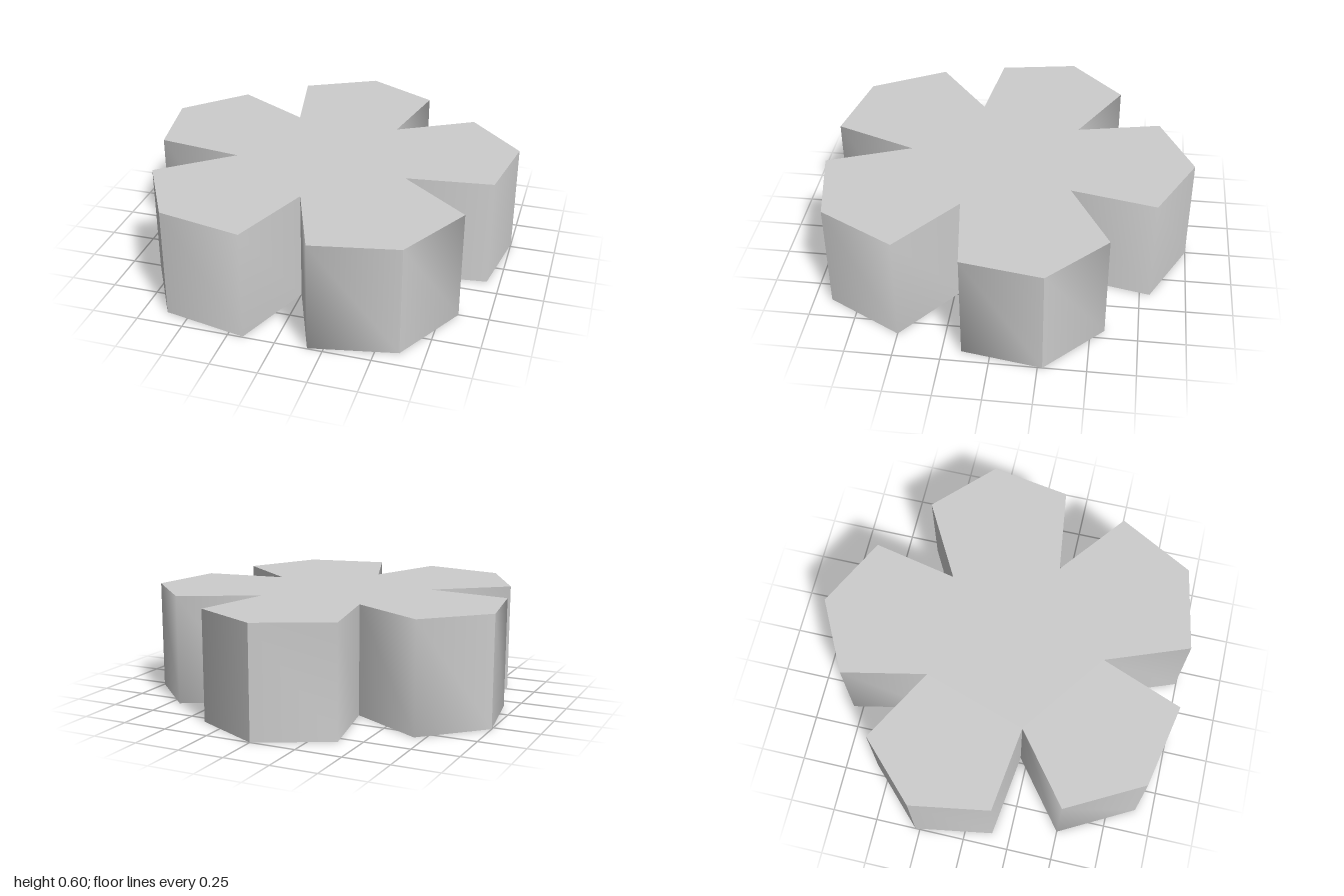
import * as THREE from 'three';

const HEIGHT = 0.6;

// Half of the flower outline as [x, z]: tip, shoulder, notch, shoulder, tip ...
const HALF = [
  [0, -1], [0.385, -0.805], [0.29, -0.35], [0.695, -0.575],
  [1, -0.275], [0.93, 0.15], [0.47, 0.21], [0.84, 0.5],
  [0.62, 0.905], [0.17, 0.995], [0, 0.55],
];

// Mirror it into a closed loop of 20 points
const OUTLINE = [
  ...HALF,
  ...HALF.slice(1, -1).reverse().map(([x, z]) => [-x, z]),
];

// Wall over a run of outline points: smooth inside the run, sharp at its ends
function wallGeometry(points) {
  const position = [], index = [];
  points.forEach(([x, z], i) => {
    position.push(x, HEIGHT, z, x, 0, z);
    if (i > 0) {
      const a = 2 * (i - 1);
      index.push(a, a + 2, a + 1, a + 2, a + 3, a + 1);
    }
  });
  const geometry = new THREE.BufferGeometry();
  geometry.setAttribute('position', new THREE.Float32BufferAttribute(position, 3));
  geometry.setIndex(index);
  geometry.computeVertexNormals();
  return geometry;
}

export function createModel() {
  const group = new THREE.Group();
  group.name = 'flowerCutter';
  const grey = new THREE.MeshStandardMaterial({ color: 0xcccccc, side: THREE.DoubleSide });
  grey.name = 'grey';

  // Flat top sheet; the underside stays open
  const shape = new THREE.Shape(OUTLINE.map(([x, z]) => new THREE.Vector2(x, -z)));
  const top = new THREE.Mesh(new THREE.ShapeGeometry(shape).rotateX(-Math.PI / 2), grey);
  top.position.y = HEIGHT;
  top.name = 'topSheet';
  group.add(top);

  // Each petal has two wall halves, each running between a tip and a notch
  const n = OUTLINE.length;
  for (let petal = 0; petal < 5; petal++) {
    const petalWall = new THREE.Group();
    petalWall.name = `petalWall${petal + 1}`;
    for (const start of [4 * petal - 2 + n, 4 * petal]) {
      const run = [0, 1, 2].map((k) => OUTLINE[(start + k) % n]);
      const half = new THREE.Mesh(wallGeometry(run), grey);
      half.name = 'petalWallHalf';
      petalWall.add(half);
    }
    group.add(petalWall);
  }
  return group;
}
